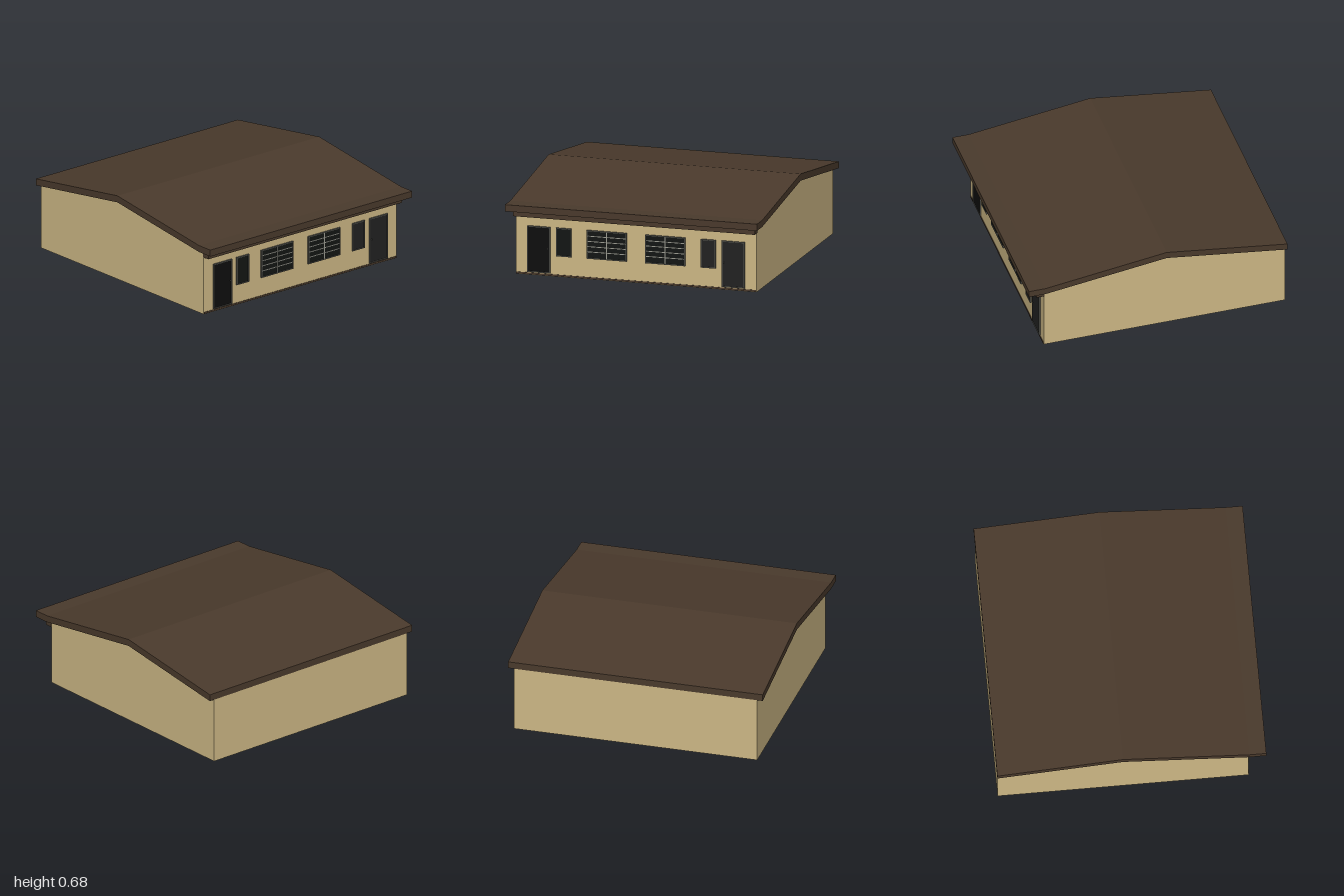
import * as THREE from 'three';

const mat = (color) => new THREE.MeshStandardMaterial({ color, flatShading: true });
const WALL = mat(0xcdb885), ROOF = mat(0x4a3a2c), FRAME = mat(0x55554f);
const DARK = mat(0x0e0e0e), GLASS = mat(0x131614), GREY = mat(0x222222), BAR = mat(0x9c9c92);
const FACE = 0.872; // x of the wall that carries the openings

export function createModel() {
  const house = new THREE.Group();
  house.name = 'house';

  const add = (parent, name, geometry, material) => {
    const mesh = new THREE.Mesh(geometry, material);
    mesh.name = name;
    parent.add(mesh);
    return mesh;
  };
  // Box given by its limits on each axis
  const box = (parent, name, x0, x1, y0, y1, z0, z1, material) => {
    const mesh = add(parent, name, new THREE.BoxGeometry(x1 - x0, y1 - y0, z1 - z0), material);
    mesh.position.set((x0 + x1) / 2, (y0 + y1) / 2, (z0 + z1) / 2);
    return mesh;
  };
  // Outline in x, y swept along z, centred
  const sweep = (name, points, halfDepth, material) => {
    const shape = new THREE.Shape(points.map(([x, y]) => new THREE.Vector2(x, y)));
    const geometry = new THREE.ExtrudeGeometry(shape, { depth: 2 * halfDepth, bevelEnabled: false });
    geometry.translate(0, 0, -halfDepth);
    return add(house, name, geometry, material);
  };

  // Gabled walls and the bent roof slab with its flat eave
  sweep('walls', [[-0.995, 0], [FACE, 0], [FACE, 0.502], [-0.065, 0.63], [-0.995, 0.502]], 0.935, WALL);
  sweep('roof', [[-1, 0.502], [-0.065, 0.63], [FACE, 0.502], [1, 0.502], [1, 0.553],
    [FACE, 0.553], [-0.065, 0.682], [-1, 0.553]], 0.979, ROOF);
  box(house, 'eaveBeam', FACE - 0.002, 0.932, 0.452, 0.502, -0.94, 0.94, ROOF);
  box(house, 'baseStrip', FACE - 0.002, FACE + 0.004, 0.003, 0.016, -0.932, 0.932, ROOF);

  // Panel surrounded by a thin four-sided frame
  const opening = (name, z0, z1, y0, y1, material) => {
    const group = new THREE.Group();
    group.name = name;
    house.add(group);
    const t = 0.007, x1 = FACE + 0.012;
    box(group, 'panel', FACE - 0.002, FACE + 0.008, y0 + t, y1 - t, z0 + t, z1 - t, material);
    for (const y of [y0, y1 - t]) box(group, 'frameRail', FACE - 0.002, x1, y, y + t, z0, z1, FRAME);
    for (const z of [z0, z1 - t]) box(group, 'frameStile', FACE - 0.002, x1, y0 + t, y1 - t, z, z + t, FRAME);
    return group;
  };

  for (const s of [1, -1]) {
    const span = (a, b) => (s > 0 ? [a, b] : [-b, -a]);

    // Door with a small knob
    const door = opening('door', ...span(0.667, 0.845), 0.022, 0.375, s > 0 ? DARK : GREY);
    const knob = add(door, 'knob', new THREE.SphereGeometry(0.005, 8, 6), FRAME);
    knob.position.set(FACE + 0.013, 0.21, s * 0.685);

    // Narrow window
    opening('narrowWindow', ...span(0.502, 0.62), 0.158, 0.375, s > 0 ? GLASS : GREY);

    // Wide window with louvre bars and a central mullion
    const wide = opening('wideWindow', ...span(0.073, 0.382), 0.158, 0.375, GLASS);
    const [z0, z1] = span(0.08, 0.375);
    for (let i = 0; i < 4; i++) {
      const y = 0.211 + i * 0.04;
      box(wide, 'louvreBar', FACE + 0.006, FACE + 0.011, y - 0.003, y + 0.003, z0, z1, BAR);
    }
    const zc = s * 0.2275;
    box(wide, 'mullion', FACE + 0.006, FACE + 0.012, 0.165, 0.368, zc - 0.003, zc + 0.003, BAR);
  }
  return house;
}
